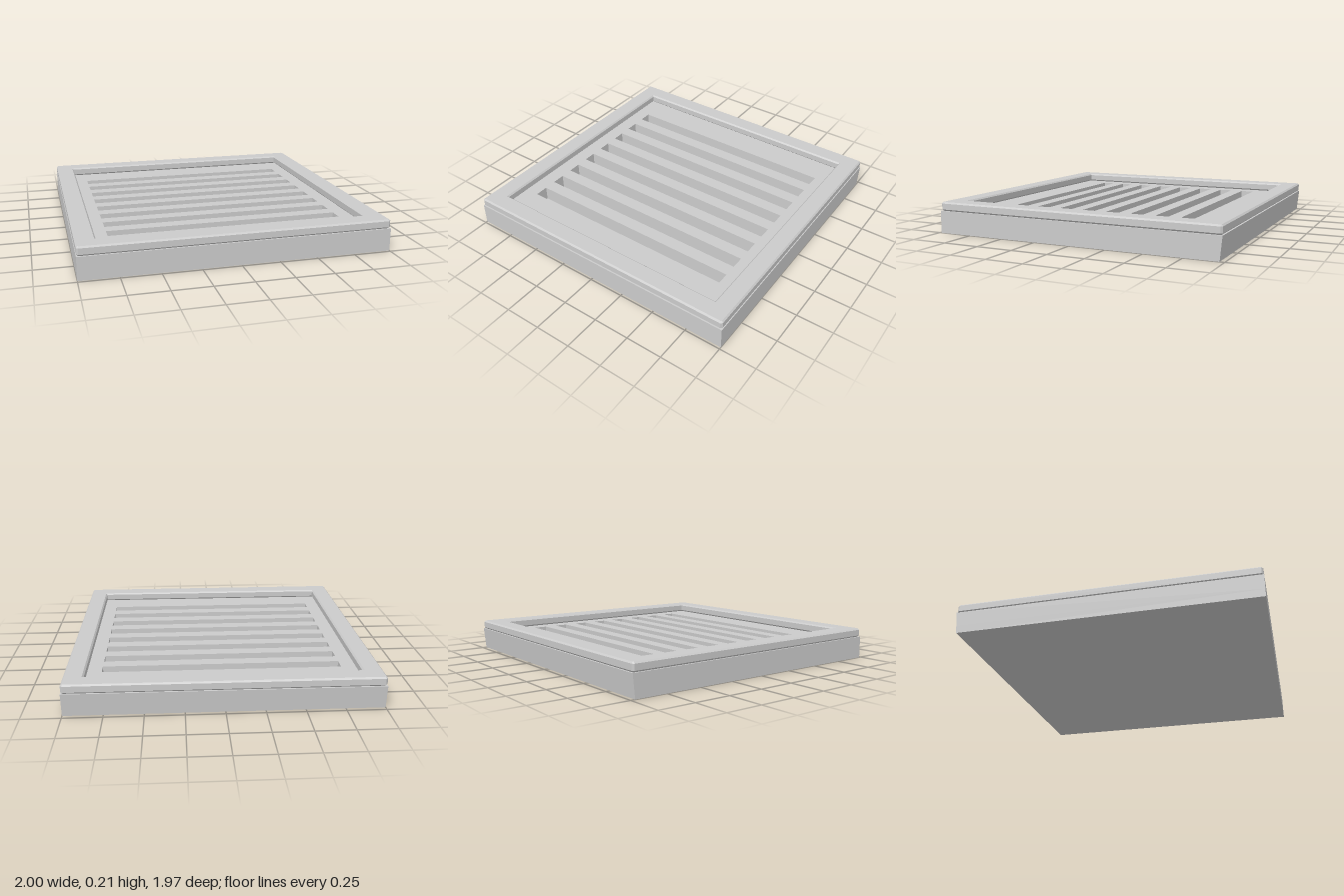
import * as THREE from 'three';

const grey = new THREE.MeshStandardMaterial({ color: 0xcccccc, flatShading: true });
const W = 1, D = 0.985;              // half width and half depth
const SLOT_FLOOR = 0.05, DECK = 0.15;

// Closed rectangle outline with optional cut corners
function rect(Type, hx, hz, cz = 0, cut = 0) {
  const pts = [];
  for (const [sx, sz] of [[1, 1], [-1, 1], [-1, -1], [1, -1]]) {
    if (!cut) { pts.push(new THREE.Vector2(sx * hx, cz + sz * hz)); continue; }
    const a = new THREE.Vector2(sx * (hx - cut), cz + sz * hz);
    const b = new THREE.Vector2(sx * hx, cz + sz * (hz - cut));
    pts.push(...(sx * sz > 0 ? [b, a] : [a, b]));
  }
  return new Type(pts);
}

// Extrude a plan outline upward; shape y becomes -z
function slab(shape, y0, height, bevel = 0) {
  const geo = new THREE.ExtrudeGeometry(shape, {
    depth: height - 2 * bevel, bevelEnabled: bevel > 0,
    bevelSize: bevel, bevelThickness: bevel, bevelOffset: -bevel, bevelSegments: 1,
  });
  return geo.rotateX(-Math.PI / 2).translate(0, y0 + bevel, 0);
}

// Lean the back wall inward toward the bottom
function leanBack(geo) {
  const p = geo.attributes.position;
  for (let i = 0; i < p.count; i++) {
    if (p.getZ(i) < -D + 0.001) p.setZ(i, -D + 0.015 * (1 - p.getY(i) / DECK));
  }
  geo.computeVertexNormals();
  return geo;
}

export function createModel() {
  const model = new THREE.Group();
  model.name = 'slottedTray';
  const add = (name, geo) => {
    const mesh = new THREE.Mesh(geo, grey);
    mesh.name = name;
    model.add(mesh);
  };

  // Solid bottom, which also closes the slots
  add('base', leanBack(new THREE.BoxGeometry(2 * W, SLOT_FLOOR, 2 * D).translate(0, SLOT_FLOOR / 2, 0)));

  // Deck with eight long slots
  const deck = rect(THREE.Shape, W, D);
  for (let i = 0; i < 8; i++) {
    deck.holes.push(rect(THREE.Path, 0.78, 0.046, 0.615 - i * 0.1775));
  }
  add('slottedDeck', leanBack(slab(deck, SLOT_FLOOR, DECK - SLOT_FLOOR)));

  // Raised rim with chamfered edges
  const rim = rect(THREE.Shape, W - 0.002, D - 0.002, 0, 0.012);
  rim.holes.push(rect(THREE.Path, 0.87, 0.855));
  // the bevel offset widens the opening, so start from its narrow size
  add('rim', slab(rim, DECK, 0.06, 0.01));

  return model;
}
